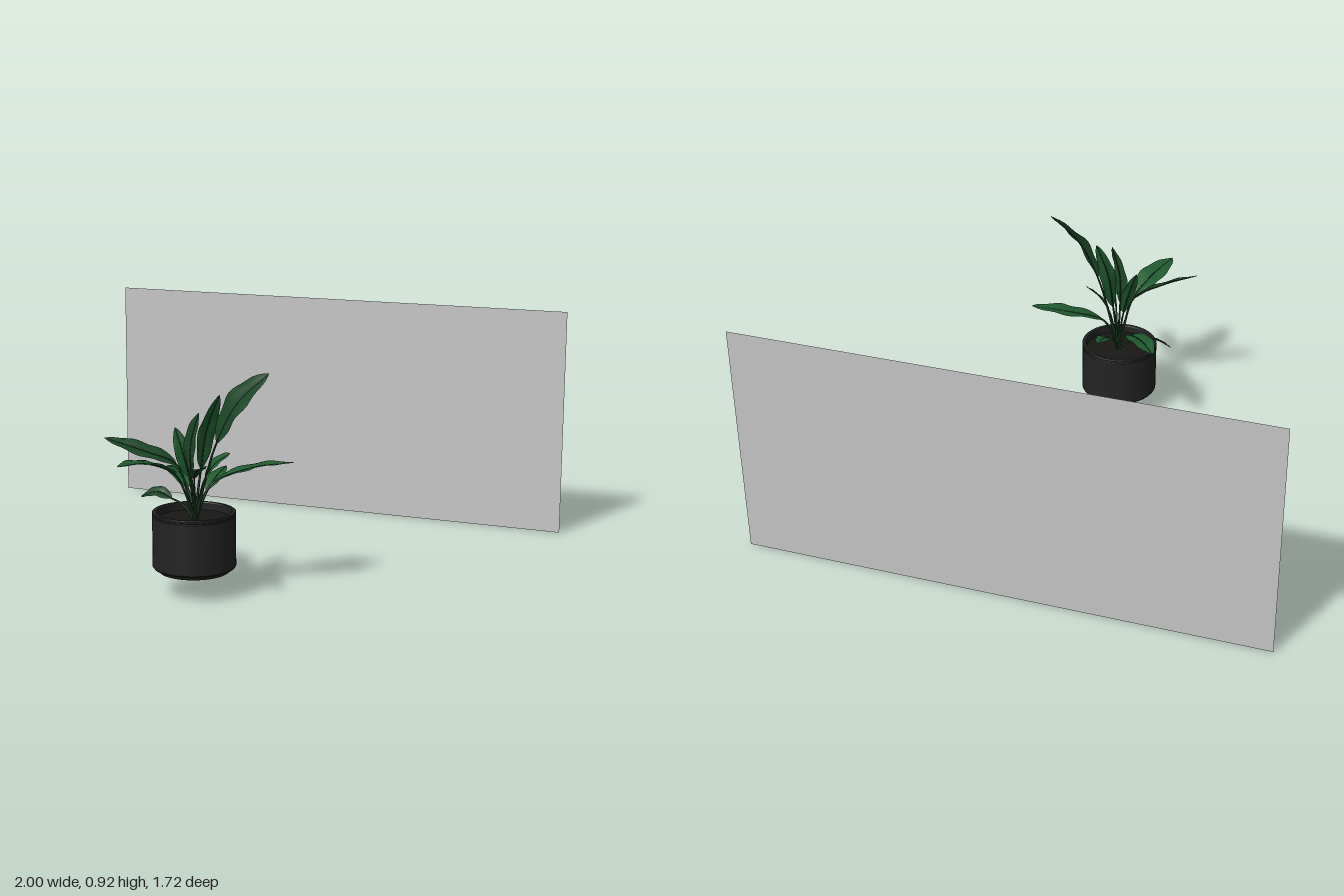
import * as THREE from 'three';

const material = (name, color, side = THREE.FrontSide) => {
  const m = new THREE.MeshStandardMaterial({ color, side });
  m.name = name;
  return m;
};

const V = (p) => new THREE.Vector3(...p);
const POT = [-0.03, 0, 0.497];
const ROOT = V([-0.022, 0.27, 0.503]);

// Path of a whole leaf: root, knee, blade start, blade middle, tip
function leafPath(start, mid, tip) {
  const knee = ROOT.clone().lerp(V(start), 0.45);
  knee.y += 0.02;
  return new THREE.CatmullRomCurve3([ROOT, knee, V(start), V(mid), V(tip)]);
}

// Folded blade with a gently rippled edge, swept along the second half of the path
function bladeGeometry(path, width, facing, seed) {
  const rows = 18, cols = 6, positions = [], indices = [];
  for (let i = 0; i <= rows; i++) {
    const t = i / rows;
    const p = path.getPoint(0.5 + t * 0.5);
    const tangent = path.getTangent(0.5 + t * 0.5);
    const side = tangent.clone().cross(facing).normalize();
    const normal = side.clone().cross(tangent);
    const half = width * 0.5 * Math.pow(Math.sin(Math.PI * Math.pow(t, 0.92)), 0.72) + 0.0008;
    for (let j = 0; j <= cols; j++) {
      const u = (j / cols) * 2 - 1;
      const fold = Math.abs(u) * 0.42 - u * u * 0.28;
      const ripple = Math.sin(t * 17 + seed + (u > 0 ? 1.5 : 0)) * 0.07 * u * u;
      const q = p.clone()
        .addScaledVector(side, u * half)
        .addScaledVector(normal, (fold + ripple) * half);
      positions.push(q.x, q.y, q.z);
      if (i < rows && j < cols) {
        const a = i * (cols + 1) + j, c = a + cols + 1;
        indices.push(a, a + 1, c + 1, a, c + 1, c);
      }
    }
  }
  const g = new THREE.BufferGeometry();
  g.setAttribute('position', new THREE.Float32BufferAttribute(positions, 3));
  g.setIndex(indices);
  g.computeVertexNormals();
  return g;
}

export function createModel() {
  const model = new THREE.Group();
  const wallGrey = material('wall grey', 0xc6c6c6, THREE.DoubleSide);
  const potBlack = material('pot black', 0x232323);
  const soilBlack = material('soil black', 0x1a1816);
  const leafGreen = material('leaf green', 0x1f5a2f, THREE.DoubleSide);
  const deepGreen = material('deep leaf green', 0x1b4526, THREE.DoubleSide);
  const stemGreen = material('stem green', 0x17331d);

  const add = (parent, name, geometry, mat, pos = [0, 0, 0]) => {
    const mesh = new THREE.Mesh(geometry, mat);
    mesh.name = name;
    mesh.position.set(...pos);
    parent.add(mesh);
    return mesh;
  };

  // Flat wall behind the plant
  add(model, 'backWall', new THREE.PlaneGeometry(2, 0.92), wallGrey, [0, 0.46, -0.86]);

  // Pot: saucer foot, straight body, groove under the rim, hollow top.
  // Each segment is its own lathe so the edges stay crisp.
  const pot = new THREE.Group();
  pot.name = 'pot';
  model.add(pot);
  const profile = [
    [0, 0.085], [0.128, 0.085], [0.137, 0.1], [0.148, 0.1], [0.153, 0.106],
    [0.153, 0.294], [0.15, 0.296], [0.15, 0.299], [0.153, 0.301],
    [0.153, 0.308], [0.151, 0.31], [0.139, 0.31], [0.137, 0.307], [0.137, 0.27],
  ];
  for (let i = 0; i < profile.length - 1; i++) {
    const pair = [profile[i], profile[i + 1]].map(([r, y]) => new THREE.Vector2(r, y));
    add(pot, 'potWall', new THREE.LatheGeometry(pair, 48), potBlack, POT);
  }
  const soil = add(pot, 'soil', new THREE.CircleGeometry(0.138, 48), soilBlack, [POT[0], 0.28, POT[2]]);
  soil.rotation.x = -Math.PI / 2;

  // Leaves: name, blade start, middle, tip, width, facing direction, colour
  const UP = [0, 1, 0];
  const leaves = [
    ['frontLeaf', [-0.055, 0.465, 0.6], [-0.105, 0.525, 0.72], [-0.15, 0.54, 0.86], 0.105, UP, leafGreen],
    ['leftLeaf', [-0.07, 0.49, 0.555], [-0.18, 0.545, 0.61], [-0.31, 0.588, 0.65], 0.085, [0.2, 1, 0.35], deepGreen],
    ['backLeftLeaf', [-0.08, 0.38, 0.445], [-0.165, 0.42, 0.35], [-0.235, 0.415, 0.27], 0.085, UP, leafGreen],
    ['backLeaf', [-0.015, 0.37, 0.42], [-0.01, 0.41, 0.34], [-0.008, 0.43, 0.26], 0.055, UP, leafGreen],
    ['smallLeftLeaf', [-0.13, 0.342, 0.475], [-0.19, 0.362, 0.475], [-0.255, 0.338, 0.475], 0.055, [0, 1, 0.5], deepGreen],
    ['rightLeaf', [0.035, 0.415, 0.475], [0.165, 0.47, 0.405], [0.305, 0.493, 0.365], 0.09, UP, leafGreen],
    ['frontRightLeaf', [0.025, 0.46, 0.61], [0.07, 0.51, 0.68], [0.112, 0.53, 0.75], 0.065, [-0.2, 1, 0], deepGreen],
    ['tallLeaf', [0.075, 0.575, 0.53], [0.155, 0.725, 0.53], [0.268, 0.838, 0.505], 0.135, [-0.56, 0.43, 0.7], deepGreen],
    ['innerFrontLeaf', [-0.015, 0.46, 0.55], [-0.005, 0.58, 0.572], [0.035, 0.695, 0.59], 0.075, [-0.5, 0.2, 0.8], deepGreen],
    ['innerBackLeaf', [0, 0.47, 0.5], [0.02, 0.61, 0.495], [0.07, 0.745, 0.49], 0.075, [0.8, 0, 0.45], leafGreen],
    ['innerLeftLeaf', [-0.04, 0.44, 0.515], [-0.06, 0.53, 0.525], [-0.09, 0.62, 0.525], 0.06, [0.6, 0.3, 0.7], leafGreen],
    ['lowRightLeaf', [0.025, 0.44, 0.52], [0.065, 0.5, 0.515], [0.12, 0.54, 0.51], 0.06, [-0.4, 0.7, 0.5], leafGreen],
  ];
  leaves.forEach(([name, start, mid, tip, width, facing, mat], k) => {
    const leaf = new THREE.Group();
    leaf.name = name;
    model.add(leaf);
    const path = leafPath(start, mid, tip);
    add(leaf, 'blade', bladeGeometry(path, width, V(facing), k * 1.7), mat);

    // Stem and midrib: one tube that narrows towards the tip
    const tube = new THREE.TubeGeometry(path, 28, 0.0055, 6);
    const pos = tube.attributes.position;
    for (let i = 0; i < pos.count; i++) {
      const t = Math.floor(i / 7) / 28;
      const centre = path.getPointAt(t);
      const v = new THREE.Vector3().fromBufferAttribute(pos, i);
      v.sub(centre).multiplyScalar(1 - 0.75 * t).add(centre);
      pos.setXYZ(i, v.x, v.y, v.z);
    }
    add(leaf, 'stem', tube, stemGreen);
  });

  return model;
}
